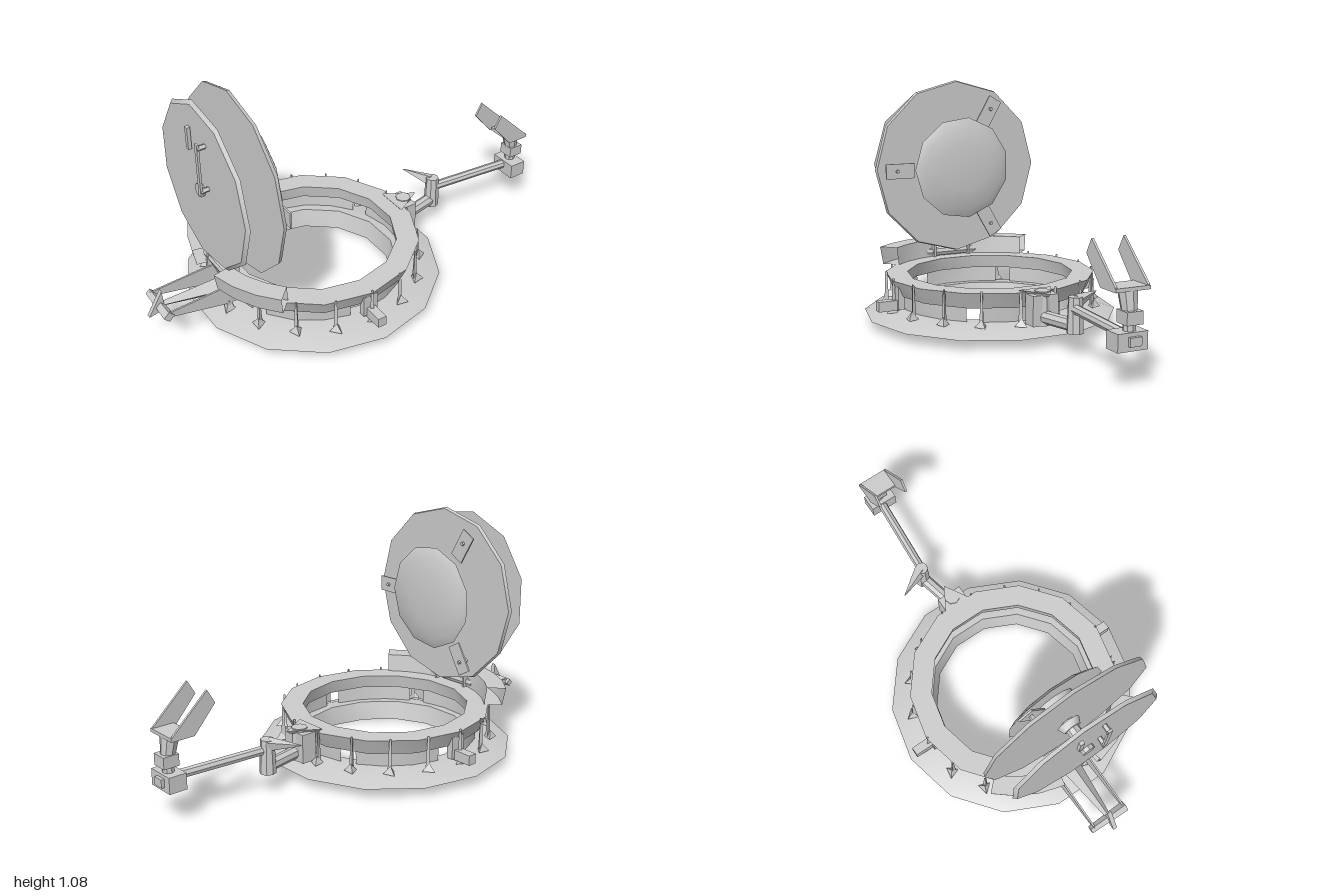
import * as THREE from 'three';
import { toCreasedNormals } from 'three/addons/utils/BufferGeometryUtils.js';

const mat = new THREE.MeshStandardMaterial({ color: 0xcccccc, side: THREE.DoubleSide });
const CX = -0.2; // ring centre
const V = (x, y, z) => new THREE.Vector3(x, y, z);

export function createModel() {
  const root = new THREE.Group();

  const add = (name, geo, x = 0, y = 0, z = 0, parent = root) => {
    const m = new THREE.Mesh(toCreasedNormals(geo, 0.75), mat);
    m.name = name;
    m.position.set(x, y, z);
    parent.add(m);
    return m;
  };
  const box = (name, w, h, d, x, y, z, parent) => add(name, new THREE.BoxGeometry(w, h, d), x, y, z, parent);
  const lathe = (name, pts, start = 0, len = Math.PI * 2, seg = 14) =>
    add(name, new THREE.LatheGeometry(pts.map(p => new THREE.Vector2(...p)), seg, start, len), CX);
  // tapered rod between two points
  const rod = (name, a, b, ra, rb = ra, sides = 8) => {
    const m = add(name, new THREE.CylinderGeometry(rb, ra, a.distanceTo(b), sides));
    m.position.copy(a).lerp(b, 0.5);
    m.quaternion.setFromUnitVectors(V(0, 1, 0), b.clone().sub(a).normalize());
    return m;
  };
  // thin plate with an outline in x/y
  const plate = (name, pts, z, t) => {
    const shape = new THREE.Shape(pts.map(p => new THREE.Vector2(...p)));
    return add(name, new THREE.ExtrudeGeometry(shape, { depth: t, bevelEnabled: false }), 0, 0, z - t / 2);
  };
  // disc facing along x
  const disc = (name, r1, r2, t, x, y, z, sides = 12) => {
    const m = add(name, new THREE.CylinderGeometry(r1, r2, t, sides), x, y, z);
    m.rotation.z = -Math.PI / 2;
    return m;
  };

  // base and flange
  lathe('baseRing', [[0.38, 0.085], [0.36, 0], [0.37, 0], [0.42, 0.03], [0.42, 0.05]]);
  lathe('lowerFlange', [[0.38, 0.085], [0.38, 0.045], [0.572, 0.045], [0.45, 0.084], [0.38, 0.085]]);

  // collar wall with narrow openings
  for (let i = 0; i < 6; i++) lathe('collarWall', [[0.415, 0.08], [0.42, 0.16]], i * Math.PI / 3, 0.88, 3);

  // upper ring
  lathe('upperRing', [[0.375, 0.22], [0.385, 0.16], [0.445, 0.15], [0.475, 0.22], [0.375, 0.22]]);

  // raised hinge segments on either side of the door
  for (const s of [-1, 1]) {
    lathe('hingeSegment', [[0.45, 0.22], [0.46, 0.3], [0.545, 0.3], [0.53, 0.22], [0.45, 0.22]],
      -Math.PI / 2 + (s > 0 ? 0.18 : -0.79), 0.61, 3);
  }

  // clamp pins with pointed tops and triangular feet
  for (let i = 0; i < 18; i++) {
    const a = (i + 0.5) / 18 * Math.PI * 2;
    const pin = new THREE.Group();
    pin.name = 'clampPin';
    pin.position.set(CX + 0.47 * Math.cos(a), 0.08, 0.47 * Math.sin(a));
    pin.rotation.y = -a;
    add('pinShaft', new THREE.CylinderGeometry(0.005, 0.012, 0.15, 3), 0, 0.075, 0, pin);
    add('pinFoot', new THREE.ConeGeometry(0.032, 0.035, 3), 0.01, 0.016, 0, pin);
    root.add(pin);
  }

  // brackets at front and back
  for (const s of [-1, 1]) {
    box('sideBracket', 0.04, 0.045, 0.1, CX, 0.112, s * 0.495);
    box('sideBracketPost', 0.07, 0.1, 0.03, CX, 0.145, s * 0.445);
  }

  // door: inner plate, outer plate and shaft
  disc('doorPlate', 0.405, 0.41, 0.016, -0.564, 0.665, 0);
  disc('outerDoorPlate', 0.37, 0.355, 0.014, -0.7, 0.68, 0, 11);
  disc('doorShaft', 0.03, 0.03, 0.17, -0.64, 0.665, 0, 8);
  disc('shaftCollar', 0.055, 0.04, 0.03, -0.595, 0.665, 0, 8);
  disc('doorHub', 0.095, 0.095, 0.09, -0.51, 0.665, 0, 12);

  // domed inner cover
  const dome = add('innerCover', new THREE.LatheGeometry(
    [[0, 0], [0.21, -0.012], [0.24, -0.01], [0.2, 0.008], [0.11, 0.02], [0, 0.024]].map(p => new THREE.Vector2(...p)), 11),
    -0.47, 0.665, 0.005);
  dome.rotation.z = -Math.PI / 2;

  // three radial latches on the door
  for (let i = 0; i < 3; i++) {
    const latch = new THREE.Group();
    latch.name = 'doorLatch';
    latch.position.set(-0.52, 0.66, 0);
    latch.rotation.x = i * Math.PI * 2 / 3;
    box('latchTab', 0.008, 0.07, 0.14, 0, 0, 0.305, latch);
    const pin = add('latchPin', new THREE.CylinderGeometry(0.008, 0.014, 0.06, 5), -0.015, 0, 0.32, latch);
    pin.rotation.z = -Math.PI / 2;
    root.add(latch);
  }

  // handle on the outside of the door
  box('handleGrip', 0.01, 0.24, 0.02, -0.742, 0.8, 0.06);
  for (const y of [0.7, 0.9]) disc('handleStud', 0.01, 0.014, 0.05, -0.72, y, 0.06, 5);
  box('sideLatch', 0.015, 0.1, 0.02, -0.72, 0.88, -0.06);

  // hinge: links from ring to door and the tapered rear arm
  for (const z of [-0.09, 0.09]) {
    plate('hingeLink', [[-0.68, 0.2], [-0.62, 0.2], [-0.61, 0.38], [-0.65, 0.41]], z, 0.012);
    plate('rearArmPlate', [[-0.95, 0.165], [-0.68, 0.11], [-0.62, 0.11], [-0.62, 0.2], [-0.7, 0.2], [-0.95, 0.185]], z * 0.9, 0.008);
  }
  rod('hingePin', V(-0.65, 0.24, -0.13), V(-0.65, 0.24, 0.13), 0.022);
  rod('rearArm', V(-0.66, 0.15, 0), V(-0.94, 0.175, 0), 0.045, 0.012, 4);
  plate('rearFin', [[-1, 0.135], [-0.92, 0.15], [-0.93, 0.18], [-0.935, 0.245]], 0, 0.02);
  rod('rearCrossbar', V(-0.945, 0.17, -0.1), V(-0.945, 0.17, 0.09), 0.018, 0.024, 4);

  // articulated arm
  box('armMount', 0.07, 0.13, 0.12, 0.295, 0.15, 0);
  add('mountCap', new THREE.CylinderGeometry(0.09, 0.07, 0.015, 3), 0.28, 0.218, 0).rotation.y = Math.PI / 2;
  rod('armPivot', V(0.3, 0.085, 0), V(0.3, 0.23, 0), 0.04, 0.035);
  rod('lowerArm', V(0.32, 0.12, 0), V(0.5, 0.12, -0.04), 0.028);
  rod('elbow', V(0.5, 0.09, -0.04), V(0.5, 0.24, -0.04), 0.036, 0.03);
  rod('elbowSpike', V(0.5, 0.22, -0.05), V(0.43, 0.235, -0.18), 0.03, 0.002, 4);
  rod('upperArm', V(0.49, 0.192, -0.035), V(0.95, 0.188, 0), 0.021);
  box('wristBlock', 0.08, 0.07, 0.13, 0.945, 0.178, 0.005);
  box('wristCap', 0.025, 0.035, 0.05, 0.987, 0.18, 0);
  rod('wristPost', V(0.95, 0.21, 0), V(0.95, 0.265, 0), 0.025);
  box('wristJoint', 0.07, 0.05, 0.07, 0.955, 0.265, 0);
  rod('wristNeck', V(0.95, 0.28, 0), V(0.935, 0.37, 0), 0.03, 0.04);

  // forked gripper
  box('gripperBase', 0.1, 0.015, 0.15, 0.925, 0.37, 0);
  for (const s of [-1, 1]) {
    plate('gripperJaw', [[0.77, 0.475], [0.805, 0.535], [0.97, 0.38], [0.97, 0.362], [0.87, 0.362]], s * 0.07, 0.01);
  }
  return root;
}
